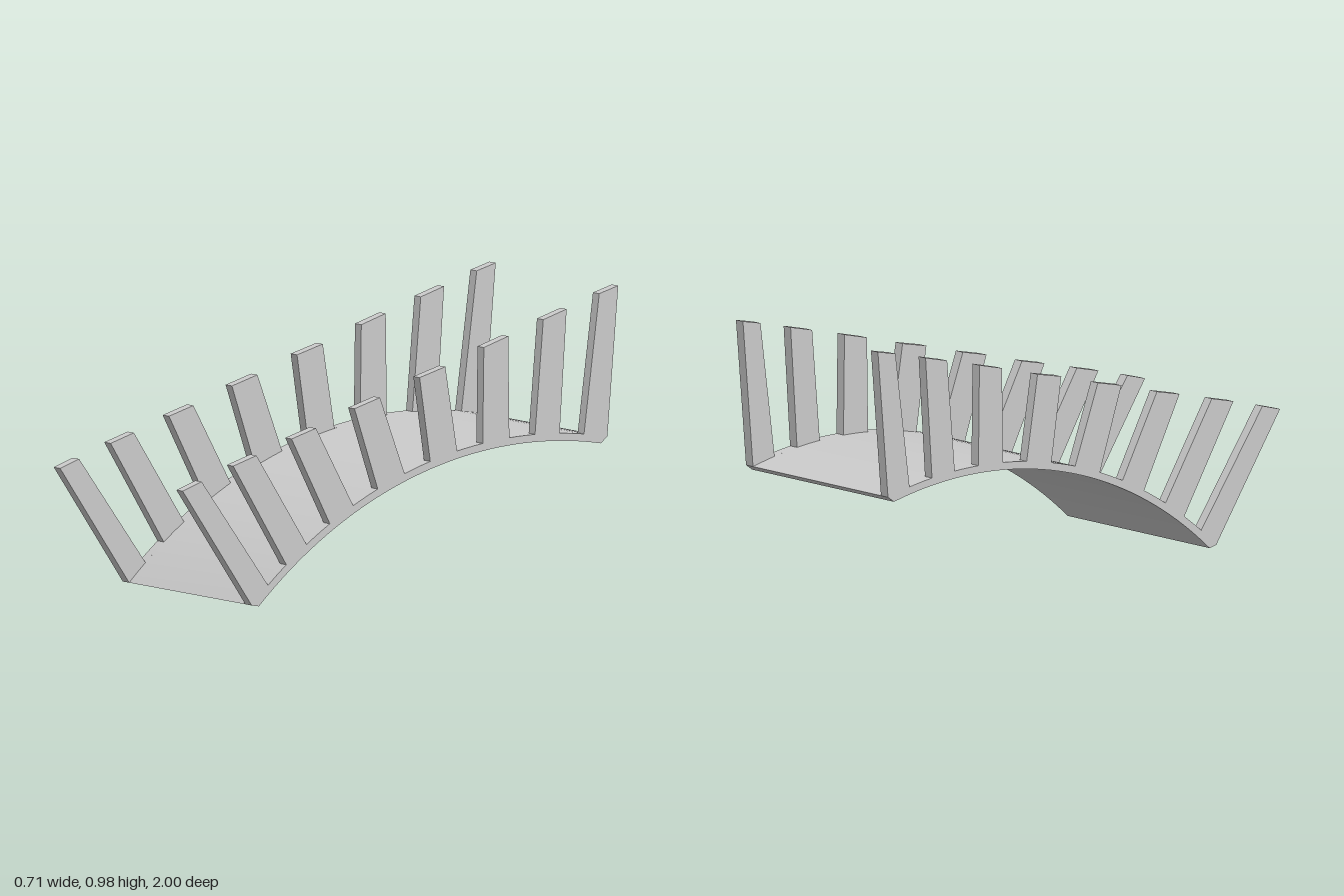
import * as THREE from 'three';
import { toCreasedNormals } from 'three/addons/utils/BufferGeometryUtils.js';

// Arc of the curved deck, drawn in the side plane (z, y)
const ARC_Z = -0.56, ARC_Y = -1.354, TOP_R = 1.847, UNDER_R = 1.82;
const TOP_ENDS = [0.683, -0.95], UNDER_ENDS = [0.65, -0.92];
const INNER_X = 0.32, OUTER_X = 0.355;

const arcY = (z, r) => ARC_Y + Math.sqrt(r * r - (z - ARC_Z) ** 2);

function arcPoints(from, to, r, steps) {
  const points = [];
  for (let i = 0; i <= steps; i++) {
    const z = from + (to - from) * i / steps;
    points.push(new THREE.Vector2(z, arcY(z, r)));
  }
  return points;
}

// Slats: foot front z, tip front z, y, tip back z, y, foot back z
const SLATS = [
  [0.683, 1.0, 0.452, 0.913, 0.477, 0.608],
  [0.524, 0.768, 0.518, 0.661, 0.545, 0.431],
  [0.324, 0.5, 0.588, 0.388, 0.615, 0.217],
  [0.104, 0.211, 0.667, 0.094, 0.695, -0.019],
  [-0.137, -0.088, 0.748, -0.206, 0.775, -0.26],
  [-0.378, -0.383, 0.826, -0.495, 0.855, -0.5],
  [-0.618, -0.656, 0.898, -0.763, 0.925, -0.731],
  [-0.843, -0.913, 0.965, -1.0, 0.985, -0.95],
];

// Extrude a side-plane outline across x, starting at x = left edge
function extrudeAcross(points, x0, x1) {
  const geometry = new THREE.ExtrudeGeometry(new THREE.Shape(points), { depth: x1 - x0, bevelEnabled: false });
  geometry.rotateY(-Math.PI / 2);
  geometry.translate(x1, 0, 0);
  return toCreasedNormals(geometry, Math.PI / 9);
}

export function createModel() {
  const model = new THREE.Group();
  model.name = 'slattedCradle';
  const material = new THREE.MeshStandardMaterial({ color: 0xcccccc });
  const add = (name, geometry) => {
    const mesh = new THREE.Mesh(geometry, material);
    mesh.name = name;
    model.add(mesh);
  };
  const underside = arcPoints(UNDER_ENDS[1], UNDER_ENDS[0], UNDER_R, 40);

  // Curved deck between the two sides
  const deck = [...arcPoints(TOP_ENDS[0], TOP_ENDS[1], TOP_R, 40), ...underside];
  add('deck', extrudeAcross(deck, -INNER_X, INNER_X));

  // Each side is one comb: slats rising from a thin curved rail
  const comb = [];
  SLATS.forEach(([foot, frontZ, frontY, backZ, backY, heel], i) => {
    if (i === 0) comb.push(new THREE.Vector2(foot, arcY(foot, TOP_R)));
    comb.push(new THREE.Vector2(frontZ, frontY), new THREE.Vector2(backZ, backY));
    const next = SLATS[i + 1];
    if (next) comb.push(...arcPoints(heel, next[0], TOP_R, 3));
    else comb.push(new THREE.Vector2(heel, arcY(heel, TOP_R)));
  });
  comb.push(...underside);
  add('leftSlats', extrudeAcross(comb, INNER_X, OUTER_X));
  add('rightSlats', extrudeAcross(comb, -OUTER_X, -INNER_X));

  return model;
}
